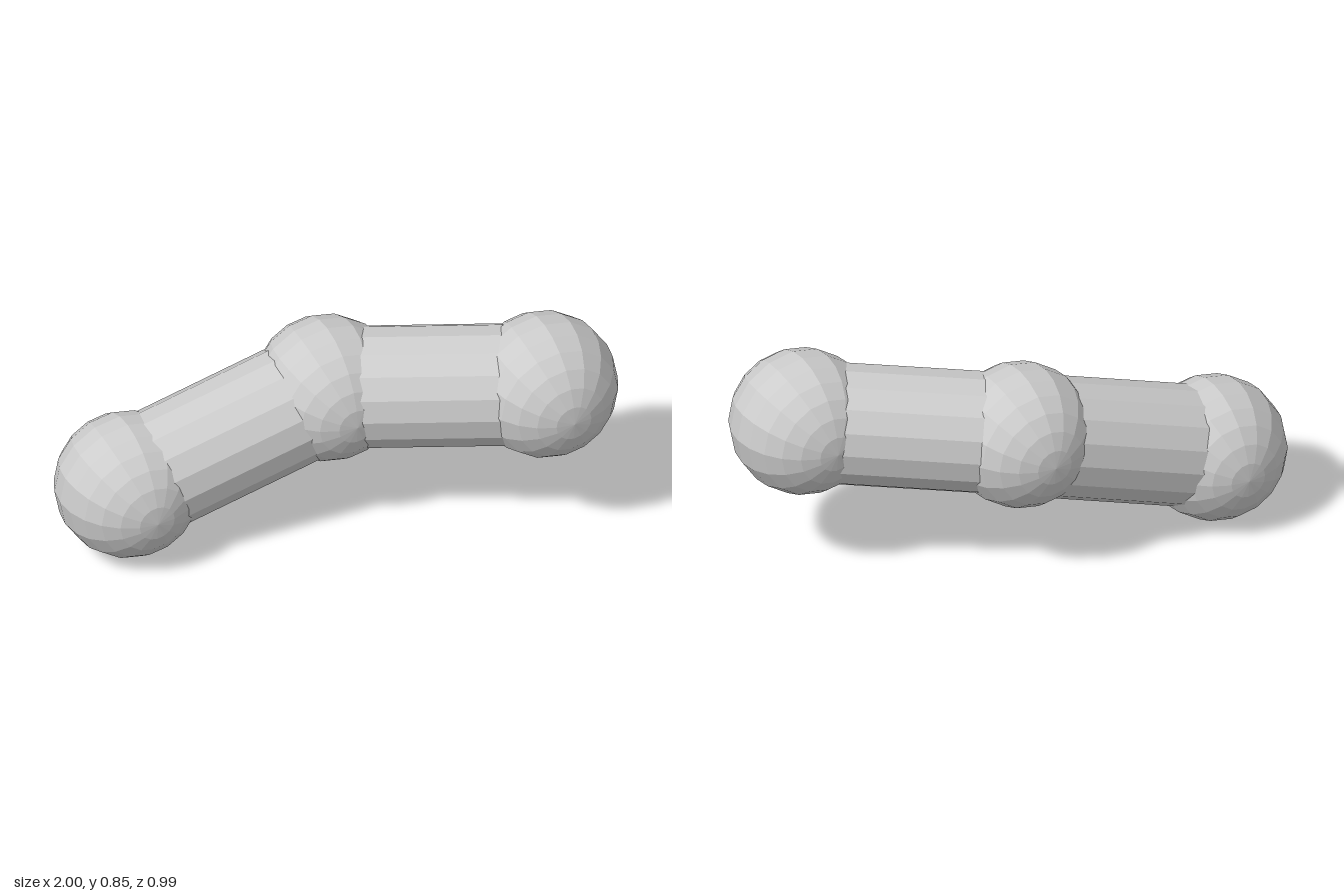
import * as THREE from 'three';

const material = new THREE.MeshStandardMaterial({ color: 0xcccccc, flatShading: true });
const JOINT_RADIUS = 0.27;
const LIMB_RADIUS = 0.225;

// Ball with its poles on the z axis
function joint(name, position) {
  const geometry = new THREE.SphereGeometry(JOINT_RADIUS, 16, 12).rotateX(Math.PI / 2);
  const mesh = new THREE.Mesh(geometry, material);
  mesh.name = name;
  mesh.position.copy(position);
  return mesh;
}

// Cylinder running between two joint centres
function limb(name, from, to) {
  const geometry = new THREE.CylinderGeometry(LIMB_RADIUS, LIMB_RADIUS, from.distanceTo(to), 16);
  const mesh = new THREE.Mesh(geometry.rotateX(Math.PI / 2), material);
  mesh.name = name;
  mesh.position.lerpVectors(from, to, 0.5);
  mesh.lookAt(to);
  return mesh;
}

export function createModel() {
  const model = new THREE.Group();
  model.name = 'jointedArm';

  const right = new THREE.Vector3(-0.73, 0.27, -0.225);
  const middle = new THREE.Vector3(0.035, 0.52, -0.155);
  const left = new THREE.Vector3(0.73, 0.58, 0.225);

  model.add(
    joint('rightJoint', right),
    joint('middleJoint', middle),
    joint('leftJoint', left),
    limb('rightLimb', right, middle),
    limb('leftLimb', middle, left)
  );
  return model;
}
